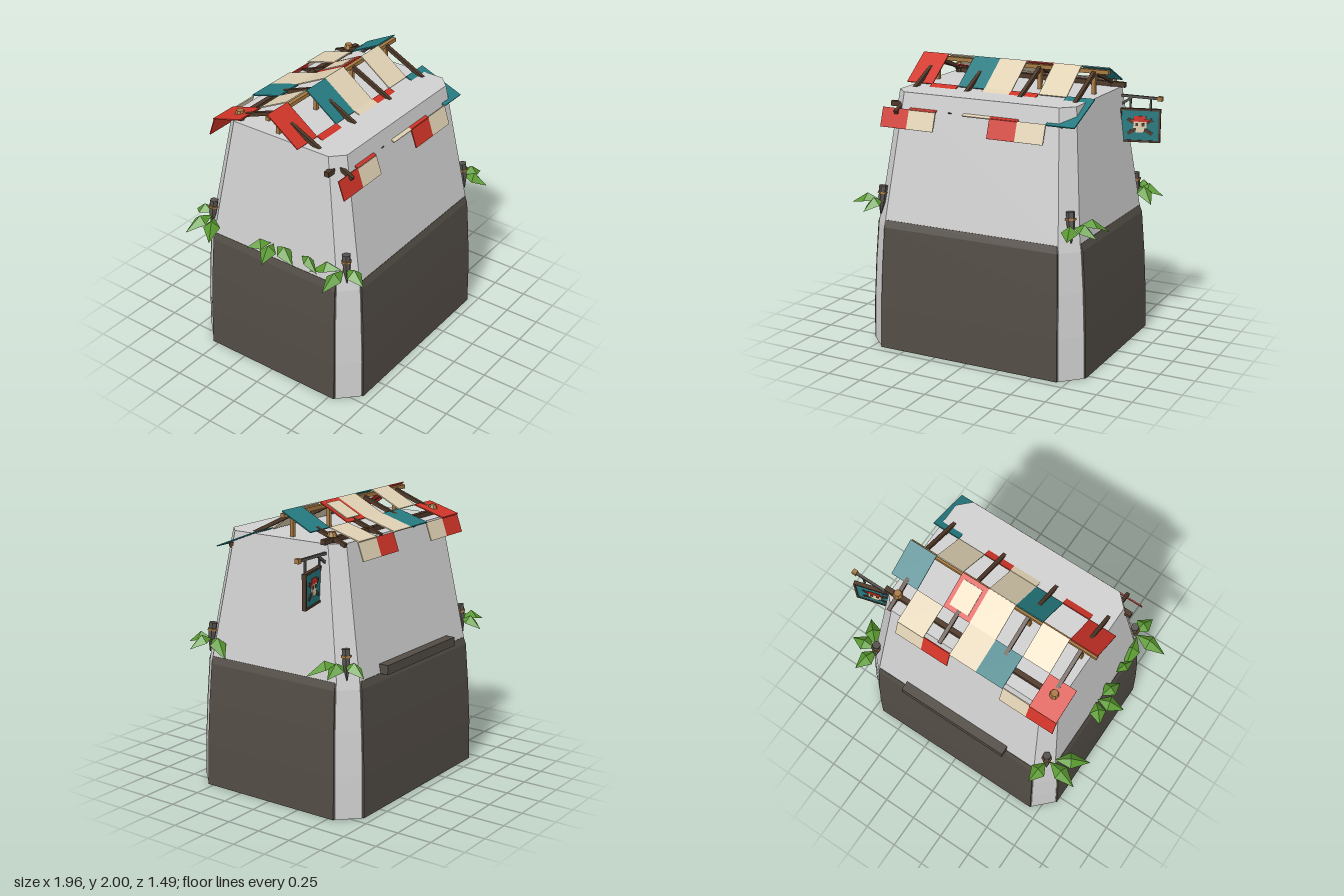
import * as THREE from 'three';

const mat = (name, color, side = THREE.FrontSide) => {
  const m = new THREE.MeshStandardMaterial({ color, flatShading: true, side });
  m.name = name;
  return m;
};

export function createModel() {
  const root = new THREE.Group();
  root.name = 'tower';
  const stone = mat('paleStone', 0xd0d0d0), dark = mat('darkPanel', 0x524c45);
  const red = mat('redCloth', 0xd03428), teal = mat('tealCloth', 0x257a80), cream = mat('creamCloth', 0xdfd0b2);
  const brown = mat('darkWood', 0x4e3828), tan = mat('lightWood', 0xa87a42);
  const grey = mat('greyIron', 0x56524f), green = mat('leafGreen', 0x5a9a30, THREE.DoubleSide);

  const add = (name, geo, m, x = 0, y = 0, z = 0, parent = root) => {
    const mesh = new THREE.Mesh(geo, m);
    mesh.name = name;
    mesh.position.set(x, y, z);
    parent.add(mesh);
    return mesh;
  };
  const box = (name, m, w, h, d, x, y, z, parent) => add(name, new THREE.BoxGeometry(w, h, d), m, x, y, z, parent);

  // Bar or plate running from a to b
  const beam = (name, m, a, b, w, h = w) => {
    const p = new THREE.Vector3(...a), q = new THREE.Vector3(...b);
    const mid = p.clone().add(q).multiplyScalar(0.5);
    const mesh = box(name, m, w, h, p.distanceTo(q), mid.x, mid.y, mid.z);
    mesh.lookAt(q);
    return mesh;
  };

  // Closed solid through stacked rings, each running from +x towards +z
  const loft = (rings) => {
    const pos = [], n = rings[0].length, top = rings[rings.length - 1];
    const tri = (a, b, c) => pos.push(...a, ...b, ...c);
    for (let r = 0; r + 1 < rings.length; r++) {
      for (let i = 0; i < n; i++) {
        const j = (i + 1) % n, lo = rings[r], hi = rings[r + 1];
        tri(lo[i], hi[i], hi[j]);
        tri(lo[i], hi[j], lo[j]);
      }
    }
    for (let i = 1; i + 1 < n; i++) {
      tri(rings[0][0], rings[0][i], rings[0][i + 1]);
      tri(top[0], top[i + 1], top[i]);
    }
    const g = new THREE.BufferGeometry();
    g.setAttribute('position', new THREE.Float32BufferAttribute(pos, 3));
    g.computeVertexNormals();
    return g;
  };

  // Tapered body with chamfered corners: y, half width, half depth, chamfer
  const profile = [
    [0, 0.822, 0.68, 0.13], [0.3, 0.815, 0.675, 0.128], [0.6, 0.8, 0.66, 0.122],
    [0.88, 0.778, 0.641, 0.112], [0.94, 0.766, 0.631, 0.107], [1.81, 0.668, 0.472, 0.085],
  ];
  add('towerBody', loft(profile.map(([y, x, z, c]) => [
    [x, y, z - c], [x - c, y, z], [c - x, y, z], [-x, y, z - c],
    [-x, y, c - z], [c - x, y, -z], [x - c, y, -z], [x, y, c - z],
  ])), stone);

  // Dark lower panels on all four sides
  for (let side = 0; side < 4; side++) {
    const rings = profile.slice(0, 5).map(([y, x, z, c], i) => {
      const w = (side % 2 ? z : x) - c, d = side % 2 ? x : z;
      const yy = i === 4 ? 0.93 : y, out = i === 4 ? 0.004 : 0.01;
      return [[w, yy, d - 0.02], [w - 0.006, yy, d + out], [0.006 - w, yy, d + out], [-w, yy, d - 0.02]];
    });
    add('lowerPanel', loft(rings), dark).rotation.y = side * Math.PI / 2;
  }
  box('backLedge', dark, 0.85, 0.065, 0.075, -0.005, 0.958, -0.653);

  // Roof frame: ridge, purlins, rafters and posts
  beam('ridgePole', tan, [-0.73, 1.965, -0.05], [0.71, 1.965, -0.05], 0.028);
  beam('backPurlin', brown, [-0.62, 1.825, -0.37], [0.7, 1.825, -0.37], 0.035);
  beam('frontPurlin', brown, [-0.72, 1.71, 0.41], [0.68, 1.71, 0.41], 0.035);
  [-0.615, -0.215, 0.195, 0.6].forEach((x, i) => {
    beam('frontRafter', brown, [x, 1.96, -0.05], [x, i === 0 ? 1.675 : 1.69, i === 0 ? 0.54 : 0.49], 0.026);
    beam('backRafter', brown, [x, 1.96, -0.05], [x, 1.8, -0.48], 0.026);
    beam('ridgePost', tan, [x, 1.8, -0.05], [x, 1.97, -0.05], 0.026);
  });
  for (const x of [-0.62, 0.6]) {
    add('backPost', new THREE.CylinderGeometry(0.028, 0.028, 0.15, 8), brown, x, 1.79, -0.37);
    add('postCap', new THREE.CylinderGeometry(0.025, 0.035, 0.03, 8), tan, x, 1.865, -0.37);
  }

  // Patchwork awning: each row is start [y, z], end [y, z] and cloth per column
  const rows = [
    ['frontUpperCloth', [1.995, -0.05], [1.82, 0.19], { 0: red, 2: teal, 3: cream, 5: cream }],
    ['frontLowerCloth', [1.825, 0.19], [1.695, 0.515], { 1: red, 3: cream, 4: red, 6: teal }],
    ['frontFlap', [1.7, 0.51], [1.57, 0.555], { 0: red, 1: cream, 4: red, 5: cream }],
    ['backUpperCloth', [1.995, -0.05], [1.88, -0.28], { 1: cream, 3: cream, 4: red, 6: teal }],
    ['backLowerCloth', [1.88, -0.28], [1.812, -0.515], { 0: red, 2: teal, 3: cream, 5: cream }],
    ['backFlap', [1.81, -0.505], [1.685, -0.55], { 0: red, 1: cream, 4: red, 5: cream }],
  ];
  const colX = (c) => -0.627 + c * 0.206;
  for (const [name, a, b, cells] of rows) {
    for (const [c, m] of Object.entries(cells)) {
      beam(name, m, [colX(+c), ...a], [colX(+c), ...b], 0.206, 0.008);
    }
  }
  beam('framedClothCentre', cream, [colX(4), 1.985, -0.082], [colX(4), 1.9, -0.252], 0.145, 0.008);

  // Hanging sign on an iron arm
  beam('signArm', grey, [0.6, 1.75, -0.37], [0.95, 1.75, -0.37], 0.018);
  beam('signBrace', grey, [0.66, 1.68, -0.37], [0.76, 1.75, -0.37], 0.016);
  box('armKnob', tan, 0.032, 0.032, 0.032, 0.96, 1.75, -0.37);
  beam('signHanger', grey, [0.89, 1.66, -0.37], [0.89, 1.75, -0.37], 0.012);
  beam('signHanger', grey, [0.74, 1.66, -0.37], [0.74, 1.74, -0.37], 0.012);
  const sign = new THREE.Group();
  sign.name = 'hangingSign';
  sign.position.set(0.815, 1.55, -0.37);
  sign.rotation.y = 0.27;
  root.add(sign);
  box('signBoard', teal, 0.27, 0.22, 0.016, 0, 0, 0, sign);
  for (const s of [-1, 1]) {
    box('signFrame', brown, 0.285, 0.014, 0.028, 0, s * 0.112, 0, sign);
    box('signFrame', brown, 0.014, 0.225, 0.028, s * 0.136, 0, 0, sign);
    // Painted skull and crossed bars on each face
    const face = new THREE.Group();
    face.name = 'signEmblem';
    face.rotation.y = s > 0 ? 0 : Math.PI;
    sign.add(face);
    for (const t of [-1, 1]) {
      box('crossBar', brown, 0.2, 0.024, 0.004, 0, -0.008, 0.01, face).rotation.z = t * 0.55;
      box('skullEye', brown, 0.02, 0.022, 0.004, t * 0.022, 0.008, 0.016, face);
    }
    box('skullFace', cream, 0.092, 0.055, 0.004, 0, 0.008, 0.013, face);
    box('skullJaw', cream, 0.056, 0.032, 0.004, 0, -0.033, 0.013, face);
    box('skullCap', red, 0.085, 0.03, 0.004, 0, 0.052, 0.014, face);
    box('skullCapBrim', red, 0.115, 0.016, 0.004, 0, 0.036, 0.015, face);
  }

  // Corner stakes with a lashing
  for (const sx of [-1, 1]) {
    for (const sz of [-1, 1]) {
      const stake = new THREE.Group();
      stake.name = 'cornerStake';
      stake.position.set(sx * 0.722, 1.05, sz * 0.572);
      stake.rotation.set(-sz * 0.1, 0, sx * 0.08);
      root.add(stake);
      add('stakeShaft', new THREE.CylinderGeometry(0.03, 0.026, 0.11, 6), grey, 0, 0.05, 0, stake);
      add('stakePoint', new THREE.CylinderGeometry(0.026, 0.003, 0.1, 6), grey, 0, -0.055, 0, stake);
      add('stakeLashing', new THREE.CylinderGeometry(0.036, 0.036, 0.014, 6), tan, 0, 0.055, 0, stake);
    }
  }

  // Folded drooping leaf from base (x, z) to tip (x, z)
  const leaf = (bx, bz, tx, tz, tipY = 1.0, half = 0.058) => {
    const dx = tx - bx, dz = tz - bz, len = Math.hypot(dx, dz);
    const px = -dz / len * half, pz = dx / len * half;
    const mx = bx + dx * 0.45, mz = bz + dz * 0.45;
    const base = [bx, 1.045, bz], ridge = [mx, 1.085, mz], tip = [tx, tipY, tz];
    const l = [mx + px, 1.035, mz + pz], r = [mx - px, 1.035, mz - pz];
    const g = new THREE.BufferGeometry();
    g.setAttribute('position', new THREE.Float32BufferAttribute(
      [base, l, ridge, l, tip, ridge, base, ridge, r, ridge, tip, r].flat(), 3));
    g.computeVertexNormals();
    add('leaf', g, green);
  };
  [
    [-0.74, -0.56, -0.97, -0.61], [-0.76, -0.53, -0.97, -0.4], [-0.72, -0.58, -0.69, -0.75],
    [0.72, -0.57, 0.78, -0.75], [0.74, -0.56, 0.93, -0.57], [0.75, -0.54, 0.91, -0.38, 0.98],
    [-0.74, 0.56, -0.98, 0.56], [-0.72, 0.57, -0.77, 0.74], [-0.75, 0.55, -0.8, 0.32, 0.97],
    [0.74, 0.56, 0.92, 0.6], [0.73, 0.57, 0.77, 0.74], [0.75, 0.54, 0.89, 0.31, 0.97],
    [-0.77, -0.02, -0.88, -0.14, 1.02], [-0.77, 0.0, -0.96, 0.05], [-0.78, 0.04, -0.83, 0.21, 0.98],
    [-0.77, 0.24, -0.82, 0.4, 0.99, 0.04],
  ].forEach((p) => leaf(...p));

  return root;
}
